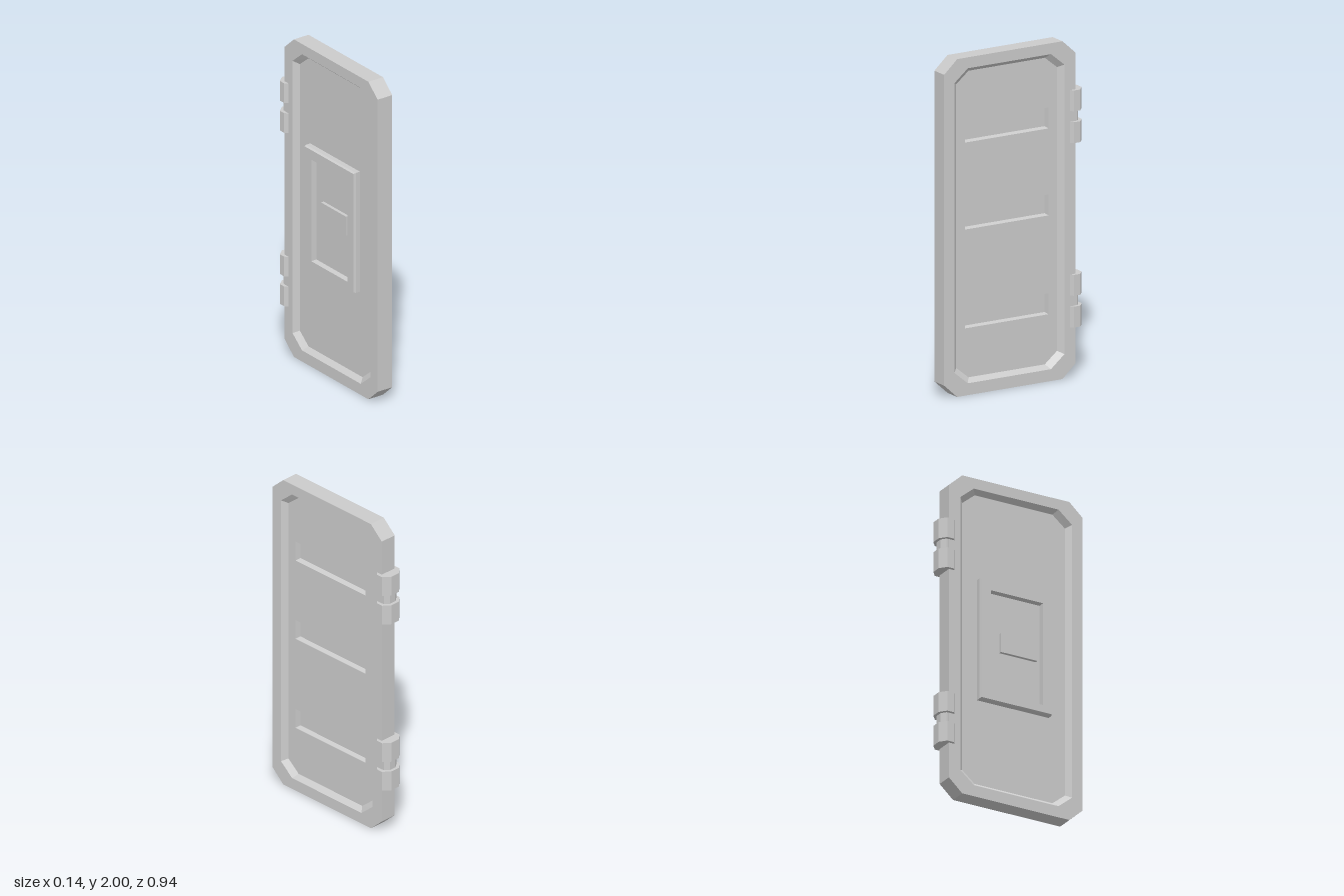
import * as THREE from 'three';

const grey = new THREE.MeshStandardMaterial({ color: 0xcccccc, flatShading: true });

// Profiles lie in (u, y) with u = -z and w = x, and run counter-clockwise.
const chamfered = (u0, u1, y0, y1, cu, cy) => [
  [u0 + cu, y0], [u1 - cu, y0], [u1, y0 + cy], [u1, y1 - cy],
  [u1 - cu, y1], [u0 + cu, y1], [u0, y1 - cy], [u0, y0 + cy],
];
const rect = (u0, u1, y0, y1, inset = 0) => [
  [u0 + inset, y0 + inset], [u1 - inset, y0 + inset],
  [u1 - inset, y1 - inset], [u0 + inset, y1 - inset],
];

// Skin between successive [profile, w] rings, with optional end caps
function loft(rings, capFirst, capLast) {
  const pos = [];
  const at = (r, j) => {
    const [profile, w] = rings[r];
    const [u, y] = profile[j % profile.length];
    return [w, y, -u];
  };
  const n = rings[0][0].length;
  for (let r = 0; r < rings.length - 1; r++) {
    for (let j = 0; j < n; j++) {
      const a = at(r, j), b = at(r, j + 1), c = at(r + 1, j + 1), d = at(r + 1, j);
      pos.push(...a, ...d, ...c, ...a, ...c, ...b);
    }
  }
  const last = rings.length - 1;
  for (let j = 1; j < n - 1; j++) {
    if (capFirst) pos.push(...at(0, 0), ...at(0, j), ...at(0, j + 1));
    if (capLast) pos.push(...at(last, 0), ...at(last, j + 1), ...at(last, j));
  }
  const g = new THREE.BufferGeometry();
  g.setAttribute('position', new THREE.Float32BufferAttribute(pos, 3));
  g.computeVertexNormals();
  return g;
}

export function createModel() {
  const model = new THREE.Group();
  const add = (name, geometry, parent = model) => {
    const mesh = new THREE.Mesh(geometry, grey);
    mesh.name = name;
    parent.add(mesh);
    return mesh;
  };
  const FACE = 0.052, FLOOR = 0.022;

  // Door slab with a bevelled recess on both faces
  const outline = chamfered(-0.47, 0.415, 0, 2, 0.088, 0.08);
  const rim = chamfered(-0.4, 0.34, 0.07, 1.935, 0.09, 0.075);
  const inner = chamfered(-0.37, 0.31, 0.095, 1.91, 0.083, 0.068);
  add('doorSlab', loft([
    [inner, FLOOR], [rim, FACE], [outline, FACE],
    [outline, -FACE], [rim, -FACE], [inner, -FLOOR],
  ], false, true));

  // Recessed front panel pierced by three slots
  const toPath = (pts, Type) => new Type(pts.map(([u, y]) => new THREE.Vector2(u, y)));
  const panel = toPath(inner, THREE.Shape);
  for (const y of [0.45, 1.035, 1.55]) {
    const box = [-0.312, 0.252, y - 0.062, y + 0.062];
    panel.holes.push(toPath(rect(...box), THREE.Path));
    add('slot', loft([[rect(...box, 0.007), FLOOR - 0.031], [rect(...box), FLOOR]], true, false));
  }
  add('recessedPanel', new THREE.ShapeGeometry(panel).rotateY(Math.PI / 2).translate(FLOOR, 0, 0));

  // Raised frame around a sunken plate on the other face
  const frame = [-0.262, 0.212, 0.625, 1.38];
  const opening = [-0.2, 0.144, 0.675, 1.315];
  add('latchFrame', loft([
    [rect(...frame), -FLOOR], [rect(...frame), -FACE], [rect(...frame, 0.005), -0.065],
    [rect(...opening), -0.065], [rect(...opening, 0.004), -0.032],
  ], false, true));
  add('latchHandle', new THREE.BoxGeometry(0.024, 0.12, 0.24)).position.set(-0.04, 1.01, 0.05);

  // Two hinges: a pair of octagonal knuckles on a thinner pin
  const prism = (halfX, back, front, cx, cz, height) => {
    const pts = chamfered(-halfX, halfX, front, back, cx, cz);
    return new THREE.ExtrudeGeometry(toPath(pts, THREE.Shape), { depth: height, bevelEnabled: false })
      .rotateX(-Math.PI / 2).translate(0, -height / 2, 0);
  };
  for (const y of [0.455, 1.547]) {
    const hinge = new THREE.Group();
    hinge.name = 'hinge';
    hinge.position.y = y;
    for (const s of [-1, 1]) {
      add('hingeKnuckle', prism(0.071, 0.47, 0.36, 0.041, 0.034, 0.124), hinge).position.y = s * 0.094;
    }
    add('hingePin', prism(0.05, 0.452, 0.38, 0.028, 0.022, 0.1), hinge);
    model.add(hinge);
  }
  return model;
}
